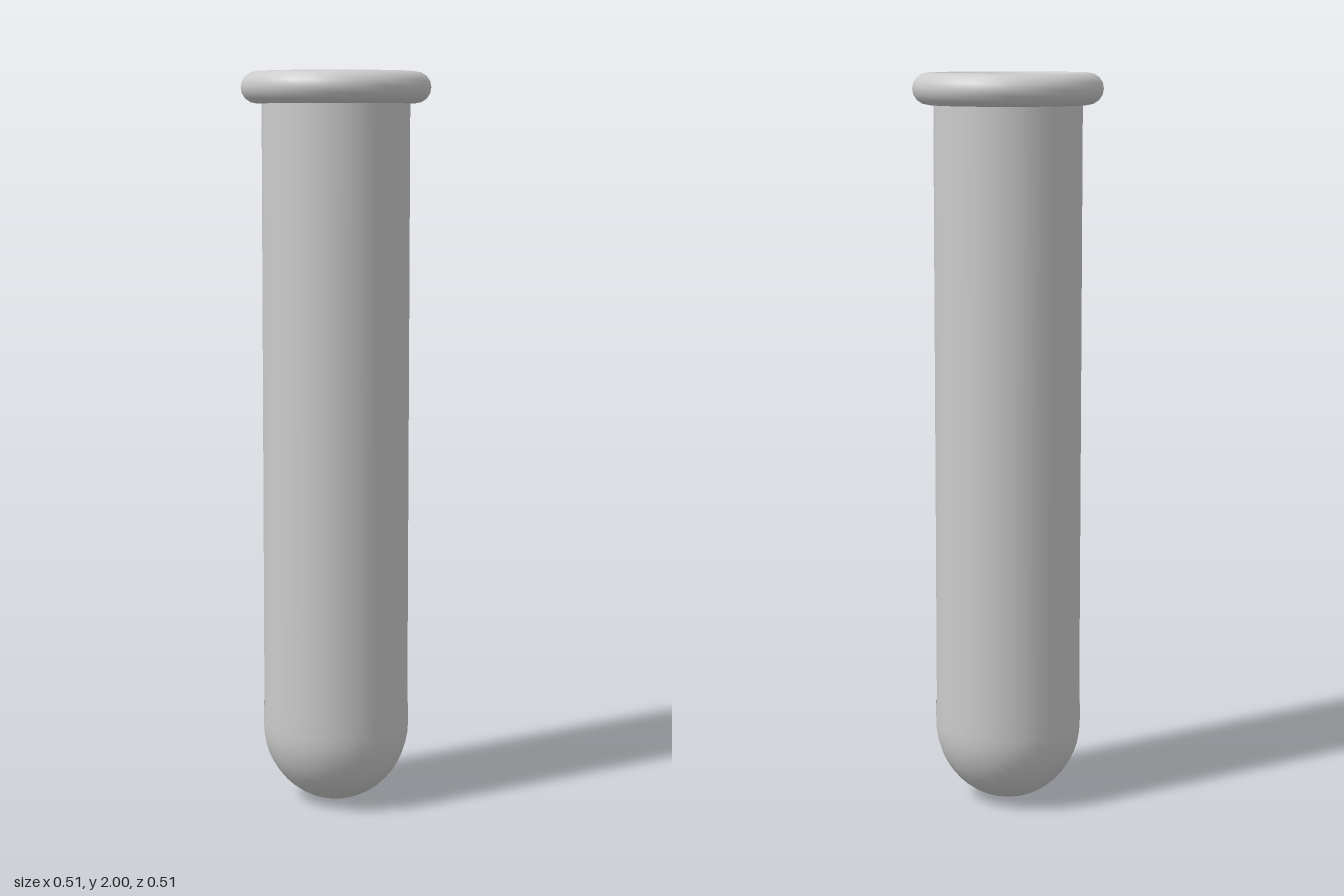
import * as THREE from 'three';

const SEGMENTS = 32;

export function createModel() {
  const group = new THREE.Group();
  const material = new THREE.MeshStandardMaterial({ color: 0xcccccc, side: THREE.DoubleSide });
  const addLathe = (name, points) => {
    const mesh = new THREE.Mesh(new THREE.LatheGeometry(points, SEGMENTS), material);
    mesh.name = name;
    group.add(mesh);
  };
  const v = (x, y) => new THREE.Vector2(x, y);

  // Round bottom, with a short collar that overlaps the wall
  const dome = [];
  for (let i = 0; i <= 12; i++) {
    const a = (i / 12) * Math.PI / 2;
    dome.push(v(0.201 * Math.sin(a), 0.215 * (1 - Math.cos(a))));
  }
  dome.push(v(0.201, 0.27));
  addLathe('roundBottom', dome);

  // Thin straight wall, open at both ends
  addLathe('tubeWall', [v(0.199, 0.215), v(0.199, 1.93)]);

  // Rolled lip: rounded outside, straight inside
  const lip = [v(0.197, 1.915)];
  for (let i = 0; i <= 8; i++) {
    const a = -Math.PI / 2 + (i / 8) * Math.PI;
    lip.push(v(0.212 + 0.043 * Math.cos(a), 1.9575 + 0.0425 * Math.sin(a)));
  }
  lip.push(v(0.203, 1.998), v(0.198, 1.99), v(0.197, 1.915));
  addLathe('rolledLip', lip);

  return group;
}
